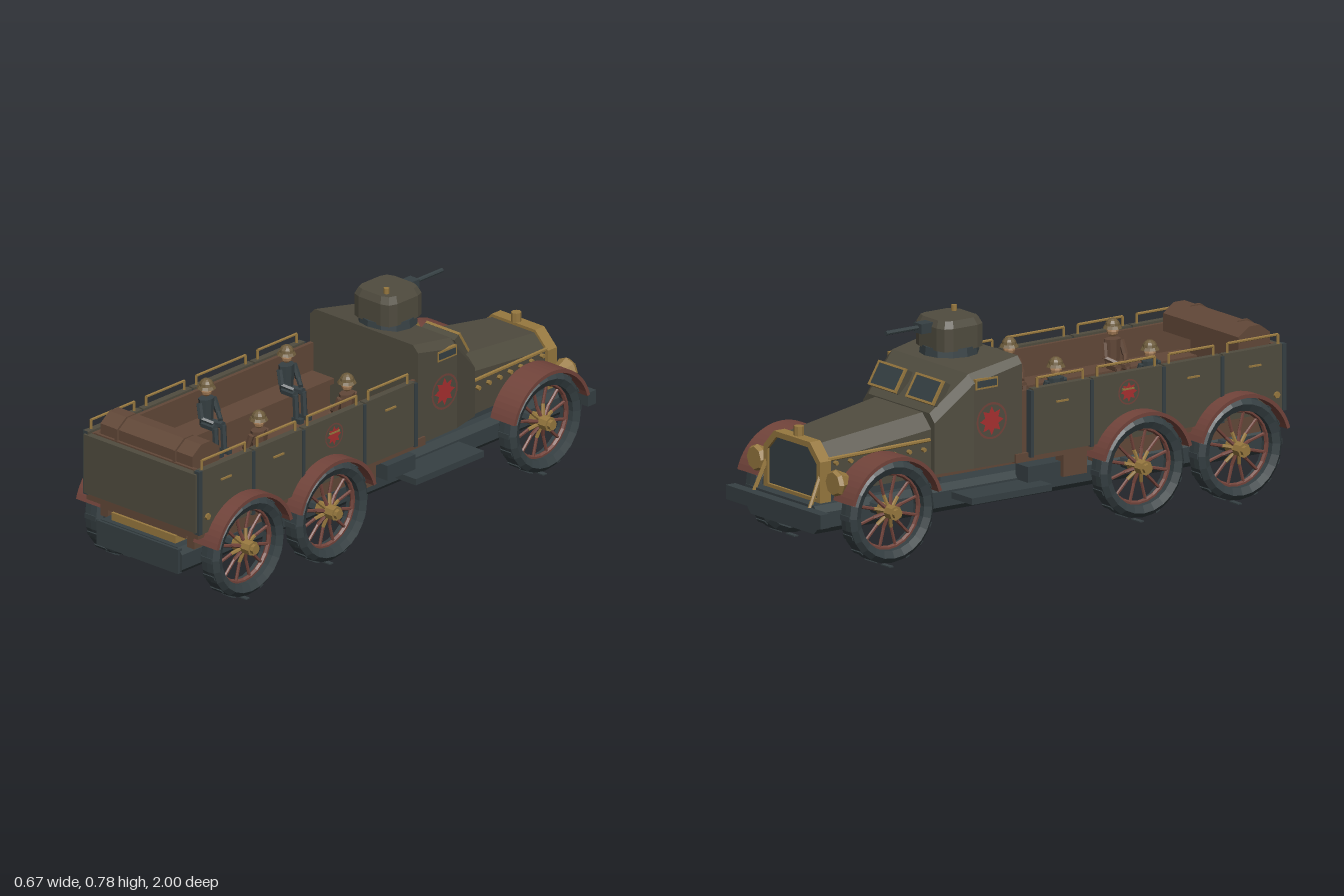
import * as THREE from 'three';
import { ConvexGeometry } from 'three/addons/geometries/ConvexGeometry.js';

const mat = (name, color, extra = {}) => {
  const m = new THREE.MeshStandardMaterial({ color, flatShading: true, ...extra });
  m.name = name;
  return m;
};

export function createModel() {
  const olive = mat('olive paint', 0x504c3f), brown = mat('brown wood', 0x624838);
  const red = mat('oxide red', 0x72443b), dark = mat('dark iron', 0x364043);
  const brass = mat('brass', 0x97783f), crimson = mat('crimson marking', 0xa83030);
  const skin = mat('skin', 0xa87f58), tan = mat('helmet drab', 0x6e5c3c);

  const root = new THREE.Group();
  root.name = 'armouredTruck';

  const add = (name, geo, m, x = 0, y = 0, z = 0, parent = root) => {
    const mesh = new THREE.Mesh(geo, m);
    mesh.name = name;
    mesh.position.set(x, y, z);
    parent.add(mesh);
    return mesh;
  };
  // Box given by its limits on each axis
  const box = (name, m, x0, x1, y0, y1, z0, z1, parent = root) =>
    add(name, new THREE.BoxGeometry(Math.abs(x1 - x0), y1 - y0, z1 - z0), m,
      (x0 + x1) / 2, (y0 + y1) / 2, (z0 + z1) / 2, parent);
  // Rod between two points
  const rod = (name, m, a, b, r, parent = root, sides = 6) => {
    const p = new THREE.Vector3(...a), q = new THREE.Vector3(...b), d = q.clone().sub(p);
    const mesh = add(name, new THREE.CylinderGeometry(r, r, d.length(), sides), m, 0, 0, 0, parent);
    mesh.position.copy(p).add(q).multiplyScalar(0.5);
    mesh.quaternion.setFromUnitVectors(new THREE.Vector3(0, 1, 0), d.normalize());
    return mesh;
  };
  // Convex shell from mirrored half sections [z, bottom, half width, top, chamfer]
  const shell = (name, m, sections) => {
    const pts = [];
    for (const [z, y0, w, y1, c] of sections) for (const s of [-1, 1])
      pts.push(new THREE.Vector3(s * w, y0, z), new THREE.Vector3(s * w, y1 - c, z), new THREE.Vector3(s * (w - c), y1, z));
    return add(name, new ConvexGeometry(pts), m);
  };
  const polygon = (pts) => new THREE.Shape(pts.map(([x, y]) => new THREE.Vector2(x, y)));
  const extrude = (shape, depth, curveSegments = 12) =>
    new THREE.ExtrudeGeometry(shape, { depth, bevelEnabled: false, curveSegments });

  // Chassis slab with chamfered corners, bumper and underframe
  const slab = polygon([[-0.2, 0.15], [-0.18, 0.13], [0.18, 0.13], [0.2, 0.15], [0.2, 0.205], [0.18, 0.228], [-0.18, 0.228], [-0.2, 0.205]]);
  add('chassis', extrude(slab, 1.95), dark, 0, 0, -0.96);
  box('frontBumper', dark, -0.27, 0.27, 0.17, 0.22, -1, -0.96);
  box('rearBuffer', dark, -0.19, 0.19, 0.135, 0.225, 0.98, 1);
  box('rearSpringBeam', brass, -0.15, 0.15, 0.228, 0.256, 0.2, 0.97);
  box('bedUnderframe', brown, -0.19, 0.19, 0.254, 0.285, -0.45, 0.96);
  box('bedSill', brown, -0.26, 0.26, 0.275, 0.306, -0.16, 0.975);
  box('engineUnderframe', dark, -0.15, 0.15, 0.22, 0.28, -0.88, -0.4);

  // Wheels
  const tyreProfile = [[0.135, -0.03], [0.16, -0.042], [0.178, -0.026], [0.18, 0], [0.178, 0.026], [0.16, 0.042], [0.135, 0.03], [0.135, -0.03]]
    .map(([r, h]) => new THREE.Vector2(r, h));
  const tyreGeo = new THREE.LatheGeometry(tyreProfile, 24).rotateZ(-Math.PI / 2);
  const rimGeo = new THREE.TorusGeometry(0.133, 0.01, 6, 24).rotateY(Math.PI / 2);
  const lugGeo = new THREE.BoxGeometry(0.05, 0.004, 0.018);
  const fenderShape = new THREE.Shape();
  const a0 = 0.28;
  fenderShape.absarc(0, 0, 0.198, a0, Math.PI - a0, false);
  fenderShape.absarc(0, 0, 0.185, Math.PI - a0, a0, true);
  const fenderGeo = extrude(fenderShape, 0.11, 12).translate(0, 0, -0.055).rotateY(Math.PI / 2);

  const makeWheel = (s, z) => {
    const g = new THREE.Group();
    g.name = 'wheel';
    g.position.set(s * 0.272, 0.195, z);
    root.add(g);
    add('tyre', tyreGeo, dark, 0, 0, 0, g);
    add('rim', rimGeo, red, 0, 0, 0, g);
    for (let i = 0; i < 12; i++) {
      const a = (i + 0.5) * Math.PI / 6, c = Math.cos(a), n = Math.sin(a);
      rod('spoke', red, [0, c * 0.05, n * 0.05], [0, c * 0.13, n * 0.13], 0.006, g);
      rod('spokeSocket', i % 2 ? brass : red, [s * 0.01, c * 0.02, n * 0.02], [0, c * 0.06, n * 0.06], 0.007, g);
    }
    rod('hub', brass, [-s * 0.03, 0, 0], [s * 0.05, 0, 0], 0.026, g, 8);
    rod('hubCap', brass, [s * 0.05, 0, 0], [s * 0.063, 0, 0], 0.018, g, 8);
    // Tread lugs, with the lowest touching the ground
    for (let i = 0; i < 16; i++) {
      const a = i * Math.PI / 8, r = i === 0 ? 0.193 : 0.18;
      const lug = add('treadLug', lugGeo, dark, 0, -Math.cos(a) * r, -Math.sin(a) * r, g);
      lug.rotation.x = a;
    }
    add('fender', fenderGeo, red, s * 0.274, 0.195, z);
  };
  for (const z of [-0.717, 0.348, 0.765]) {
    for (const s of [-1, 1]) makeWheel(s, z);
    rod('axle', dark, [-0.26, 0.195, z], [0.26, 0.195, z], 0.024, root, 8);
  }

  // Cab, bonnet and nose
  shell('cab', olive, [[-0.13, 0.28, 0.253, 0.645, 0.024], [-0.33, 0.28, 0.247, 0.607, 0.03], [-0.465, 0.27, 0.205, 0.48, 0.03]]);
  shell('bonnet', olive, [[-0.46, 0.265, 0.185, 0.477, 0.05], [-0.885, 0.25, 0.148, 0.42, 0.05]]);
  const arch = (w, y0, y1, c) => [[-w, y0], [w, y0], [w, y1 - c], [w - c, y1], [-w + c, y1], [-w, y1 - c]];
  const surround = polygon(arch(0.162, 0.225, 0.432, 0.06));
  surround.holes.push(new THREE.Path(arch(0.14, 0.24, 0.412, 0.05).reverse().map(([x, y]) => new THREE.Vector2(x, y))));
  add('radiatorSurround', extrude(surround, 0.045), brass, 0, 0, -0.92);
  add('radiatorGrille', extrude(polygon(arch(0.145, 0.235, 0.417, 0.05)), 0.02), dark, 0, 0, -0.91);
  rod('radiatorCap', brass, [0, 0.43, -0.89], [0, 0.465, -0.89], 0.018, root, 8);

  // Windscreen panes with brass frames
  for (const s of [-1, 1]) {
    const pane = new THREE.Group();
    pane.name = 'windscreenPane';
    pane.position.set(s * 0.107, 0.547, -0.432);
    pane.rotation.x = 0.54;
    root.add(pane);
    box('glass', dark, -0.07, 0.07, -0.04, 0.04, -0.003, 0.003, pane);
    box('frameBacking', olive, -0.078, 0.078, -0.045, 0.045, 0.003, 0.03, pane);
    for (const t of [-1, 1]) {
      box('frameRail', brass, -0.078, 0.078, t * 0.042 - 0.004, t * 0.042 + 0.004, -0.006, 0.004, pane);
      box('frameStile', brass, t * 0.074 - 0.004, t * 0.074 + 0.004, -0.045, 0.045, -0.006, 0.004, pane);
    }
  }

  // Round markings on the sides
  const splash = polygon(Array.from({ length: 16 }, (_, i) => {
    const r = i % 2 ? 0.6 : 1, a = i * Math.PI / 8;
    return [r * Math.cos(a), r * Math.sin(a)];
  }));
  const marking = (s, x, y, z, r) => {
    const g = new THREE.Group();
    g.name = 'roundMarking';
    g.position.set(s * x, y, z);
    g.rotation.y = s * Math.PI / 2;
    root.add(g);
    add('markingRing', new THREE.RingGeometry(r * 0.88, r, 24), red, 0, 0, 0, g);
    add('markingSplash', new THREE.ShapeGeometry(splash), crimson, 0, 0, 0, g).scale.setScalar(r * 0.78);
  };

  // Side fittings, mirrored
  for (const s of [-1, 1]) {
    marking(s, 0.256, 0.44, -0.26, 0.065);
    marking(s, 0.274, 0.46, 0.31, 0.045);
    box('sideWindowFrame', brass, s * 0.24, s * 0.252, 0.555, 0.592, -0.325, -0.23);
    box('sideWindow', dark, s * 0.24, s * 0.254, 0.562, 0.585, -0.318, -0.237);
    rod('bonnetStrip', brass, [s * 0.184, 0.39, -0.47], [s * 0.152, 0.375, -0.88], 0.007);
    for (let i = 0; i < 7; i++) {
      const t = (i + 0.5) / 7, x = s * (0.185 - 0.035 * t), z = -0.47 - 0.41 * t;
      rod('bonnetStud', brass, [x, 0.36, z], [x + s * 0.014, 0.36, z], 0.008);
    }
    rod('noseBrace', brass, [s * 0.15, 0.35, -0.9], [s * 0.16, 0.2, -0.97], 0.008);
    // Headlamps
    add('headlampShell', new THREE.CylinderGeometry(0.025, 0.048, 0.05, 8).rotateX(Math.PI / 2), brass, s * 0.225, 0.31, -0.875);
    add('headlampRim', new THREE.CylinderGeometry(0.048, 0.04, 0.015, 8).rotateX(Math.PI / 2), brass, s * 0.225, 0.31, -0.907);
    rod('headlampBracket', brass, [s * 0.15, 0.29, -0.88], [s * 0.22, 0.3, -0.88], 0.01);
    // Running board and chests
    box('runningBoard', dark, s * 0.19, s * 0.318, 0.175, 0.198, -0.39, -0.05);
    box('stepBox', dark, s * 0.19, s * 0.26, 0.2, 0.255, -0.11, 0.03);
    box('toolChest', brown, s * 0.19, s * 0.235, 0.19, 0.275, 0.06, 0.16);
    box('springBlock', brown, s * 0.185, s * 0.22, 0.22, 0.27, 0.2, 0.95);

    // Bed side: four panels, posts, catches and hand rails
    const seams = [-0.1, 0.155, 0.46, 0.71, 0.985];
    for (let i = 0; i < 4; i++) {
      const z0 = seams[i], z1 = seams[i + 1], zr0 = z0 + 0.03, zr1 = z1 - 0.03;
      box('sidePanel', olive, s * 0.246, s * 0.27, 0.295, 0.53, z0 + 0.004, z1 - 0.004);
      box('panelPost', dark, s * 0.25, s * 0.274, 0.29, 0.525, z0 - 0.007, z0 + 0.007);
      box('panelCatch', brass, s * 0.268, s * 0.276, 0.468, 0.474, (z0 + z1) / 2 - 0.025, (z0 + z1) / 2 + 0.025);
      rod('handRail', brass, [s * 0.259, 0.563, zr0], [s * 0.259, 0.563, zr1], 0.005);
      for (const z of [zr0, zr1]) rod('railPost', brass, [s * 0.259, 0.525, z], [s * 0.259, 0.563, z], 0.005);
    }
    box('cornerPost', dark, s * 0.25, s * 0.272, 0.295, 0.53, 0.965, 0.982);
    box('innerLining', brown, s * 0.232, s * 0.247, 0.3, 0.522, -0.125, 0.965);
    box('bench', brown, s * 0.13, s * 0.234, 0.4, 0.42, -0.12, 0.9);
    box('benchRiser', brown, s * 0.15, s * 0.234, 0.3, 0.4, -0.12, 0.9);
    rod('tailLamp', brass, [s * 0.265, 0.355, 0.94], [s * 0.278, 0.355, 0.94], 0.012);
  }

  // Bed floor, tailgate and folded canvas on the tail
  box('bedFloor', brown, -0.24, 0.24, 0.3, 0.315, -0.13, 0.97);
  box('tailgate', olive, -0.262, 0.262, 0.304, 0.52, 0.965, 0.99);
  box('tailLining', brown, -0.235, 0.235, 0.31, 0.525, 0.95, 0.965);
  const roll = polygon([[-0.955, 0.5], [-0.82, 0.5], [-0.82, 0.563], [-0.865, 0.595], [-0.91, 0.595], [-0.955, 0.563]]);
  add('canvasRoll', extrude(roll, 0.43).rotateY(Math.PI / 2), brown, -0.215, 0, 0);
  for (const s of [-1, 1]) {
    const strap = add('canvasStrap', extrude(roll, 0.012).rotateY(Math.PI / 2), brown, s * 0.135 - 0.006, 0.004, 0.008);
    strap.scale.z = 1;
  }

  // Turret with ring, hatch knob and gun
  const turretPts = [];
  for (const [w, y] of [[0.092, 0.655], [0.092, 0.735], [0.08, 0.76]])
    for (const [px, pz] of [[1, 0.55], [0.88, 0.88], [0.55, 1]])
      for (const sx of [-1, 1]) for (const sz of [-1, 1]) turretPts.push(new THREE.Vector3(sx * px * w, y, sz * pz * w));
  add('turret', new ConvexGeometry(turretPts), olive, 0, 0, -0.25);
  add('turretRing', new THREE.CylinderGeometry(0.1, 0.104, 0.03, 12), dark, 0, 0.647, -0.25);
  rod('hatchKnob', brass, [0.04, 0.755, -0.2], [0.04, 0.78, -0.2], 0.01, root, 8);
  box('gunMantlet', dark, -0.022, 0.022, 0.715, 0.75, -0.385, -0.33);
  rod('gunBarrel', dark, [0, 0.735, -0.38], [0, 0.735, -0.52], 0.008, root, 8);

  // Seated crew facing the middle of the bed
  const crew = [[-0.165, 0.08, dark], [-0.165, 0.48, dark], [0.155, 0.12, brown], [0.155, 0.56, brown]];
  for (const [x, z, coat] of crew) {
    const g = new THREE.Group();
    g.name = 'crewMember';
    g.position.set(x, 0.42, z);
    g.rotation.y = x < 0 ? Math.PI / 2 : -Math.PI / 2;
    root.add(g);
    add('torso', new THREE.CylinderGeometry(0.032, 0.026, 0.1, 8), coat, 0, 0.055, 0, g).scale.z = 0.75;
    add('head', new THREE.SphereGeometry(0.021, 8, 6), skin, 0, 0.132, 0, g);
    add('helmetBrim', new THREE.CylinderGeometry(0.028, 0.034, 0.01, 10), tan, 0, 0.147, 0, g);
    add('helmetCrown', new THREE.SphereGeometry(0.026, 10, 4, 0, Math.PI * 2, 0, Math.PI / 2), tan, 0, 0.151, 0, g);
    for (const s of [-1, 1]) {
      rod('upperArm', coat, [s * 0.036, 0.095, 0], [s * 0.042, 0.045, 0.015], 0.011, g);
      rod('forearm', coat, [s * 0.042, 0.045, 0.015], [s * 0.018, 0.03, 0.05], 0.009, g);
      rod('thigh', coat, [s * 0.016, 0.012, 0], [s * 0.02, 0.014, 0.06], 0.014, g);
      rod('shin', coat, [s * 0.02, 0.014, 0.06], [s * 0.02, -0.07, 0.065], 0.011, g);
      box('boot', dark, s * 0.02 - 0.01, s * 0.02 + 0.01, -0.085, -0.068, 0.052, 0.092, g);
    }
  }
  return root;
}
